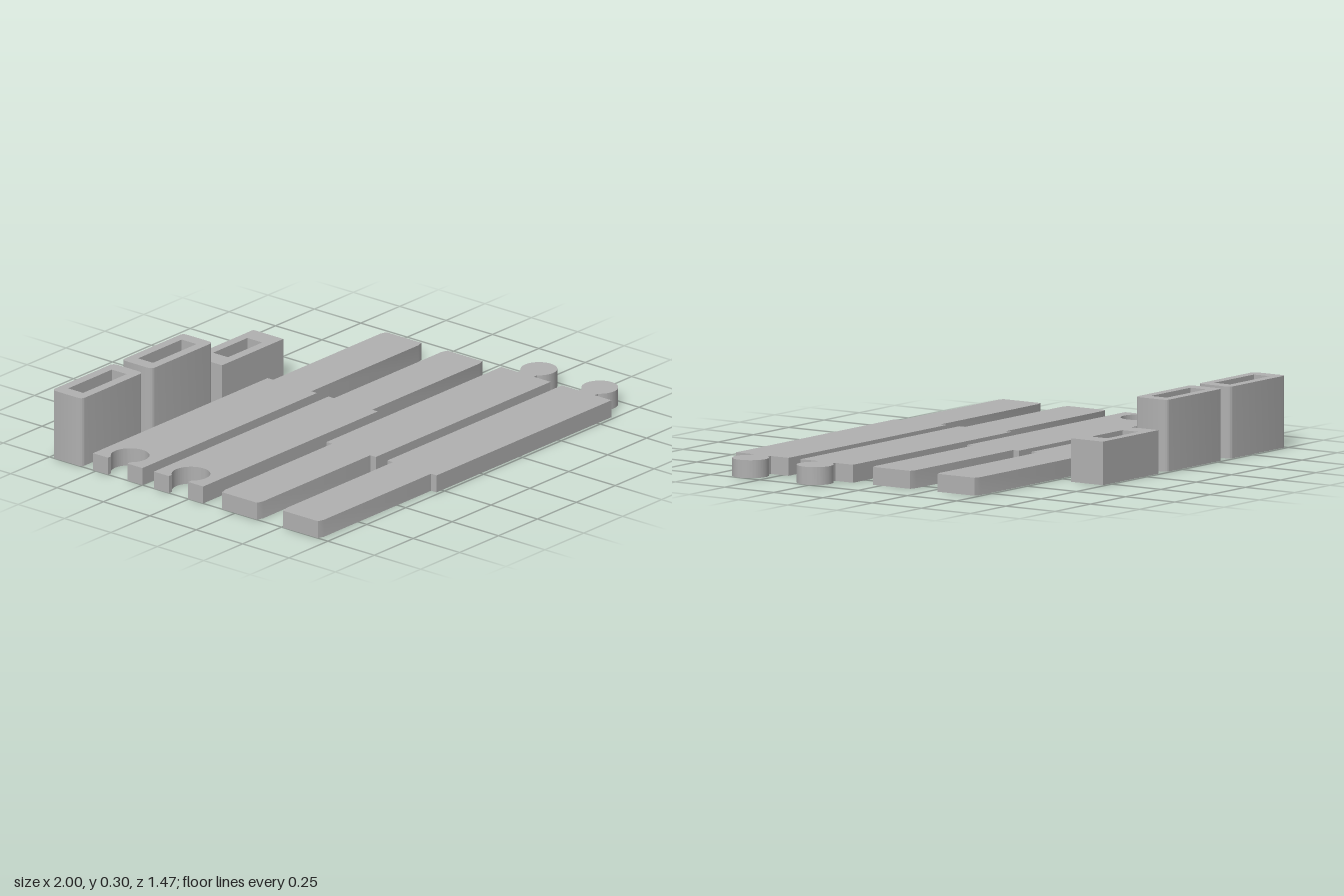
import * as THREE from 'three';
import { toCreasedNormals } from 'three/addons/utils/BufferGeometryUtils.js';

const grey = new THREE.MeshStandardMaterial({ color: 0xb0b0b0 });
grey.name = 'plain grey';

// Extrude a plan outline upwards from the ground
function slab(name, shape, height, x, z) {
  const geo = new THREE.ExtrudeGeometry(shape, { depth: height, bevelEnabled: false, curveSegments: 40 });
  geo.rotateX(-Math.PI / 2);
  const mesh = new THREE.Mesh(toCreasedNormals(geo, 0.5), grey);
  mesh.name = name;
  mesh.position.set(x, 0, z);
  return mesh;
}

const WIDE = 0.133, NARROW = 0.103, TIP = 0.094;

// Stepped plank with a round knob on its right end
function knobPlank() {
  const s = new THREE.Shape();
  const cx = 0.924, r = 0.076, neck = 0.043, a = Math.PI - Math.asin(neck / r);
  s.moveTo(-1, -TIP);
  s.lineTo(-0.97, -NARROW);
  s.lineTo(-0.283, -NARROW);
  s.lineTo(-0.283, -WIDE);
  s.lineTo(0.84, -WIDE);
  s.lineTo(0.84, -neck);
  s.absarc(cx, 0, r, -a, a, false);
  s.lineTo(0.84, neck);
  s.lineTo(0.84, WIDE);
  s.lineTo(-0.283, WIDE);
  s.lineTo(-0.283, NARROW);
  s.lineTo(-0.97, NARROW);
  s.lineTo(-1, TIP);
  s.closePath();
  return s;
}

// Stepped plank with a matching keyhole socket in its left end
function socketPlank() {
  const s = new THREE.Shape();
  const cx = -0.92, r = 0.08, neck = 0.052, a = Math.PI - Math.asin(neck / r);
  s.moveTo(-1, -WIDE);
  s.lineTo(0.122, -WIDE);
  s.lineTo(0.122, -NARROW);
  s.lineTo(0.81, -NARROW);
  s.lineTo(0.84, -TIP);
  s.lineTo(0.84, TIP);
  s.lineTo(0.81, NARROW);
  s.lineTo(0.122, NARROW);
  s.lineTo(0.122, WIDE);
  s.lineTo(-1, WIDE);
  s.lineTo(-1, neck);
  s.absarc(cx, 0, r, a, -a, true);
  s.lineTo(-1, -neck);
  s.closePath();
  return s;
}

// Rectangular sleeve with a slot right through it
function sleeve(w, d, r, slotW, slotD) {
  const s = new THREE.Shape();
  const x = w / 2, y = d / 2, h = slotW / 2, v = slotD / 2;
  if (r > 0) {
    s.absarc(x - r, -y + r, r, -Math.PI / 2, 0, false);
    s.absarc(x - r, y - r, r, 0, Math.PI / 2, false);
    s.absarc(-x + r, y - r, r, Math.PI / 2, Math.PI, false);
    s.absarc(-x + r, -y + r, r, Math.PI, Math.PI * 1.5, false);
  } else {
    s.moveTo(-x, -y).lineTo(x, -y).lineTo(x, y).lineTo(-x, y);
  }
  s.closePath();
  const slot = new THREE.Path();
  slot.moveTo(-h, -v).lineTo(-h, v).lineTo(h, v).lineTo(h, -v).closePath();
  s.holes.push(slot);
  return s;
}

export function createModel() {
  const model = new THREE.Group();
  model.name = 'interlockingTrackParts';

  // Four planks side by side
  [0.602, 0.274].forEach((z, i) => model.add(slab(`knobPlank${i + 1}`, knobPlank(), 0.075, 0, z)));
  [-0.055, -0.383].forEach((z, i) => model.add(slab(`socketPlank${i + 1}`, socketPlank(), 0.075, 0, z)));

  // Row of sleeves along the back: x, height, corner radius, slot width
  [
    [-0.803, 0.3, 0.02, 0.28],
    [-0.354, 0.3, 0.02, 0.28],
    [0.098, 0.182, 0, 0.22],
  ].forEach(([x, h, r, slotW], i) =>
    model.add(slab(`sleeve${i + 1}`, sleeve(0.394, 0.162, r, slotW, 0.08), h, x, -0.657)));

  return model;
}
